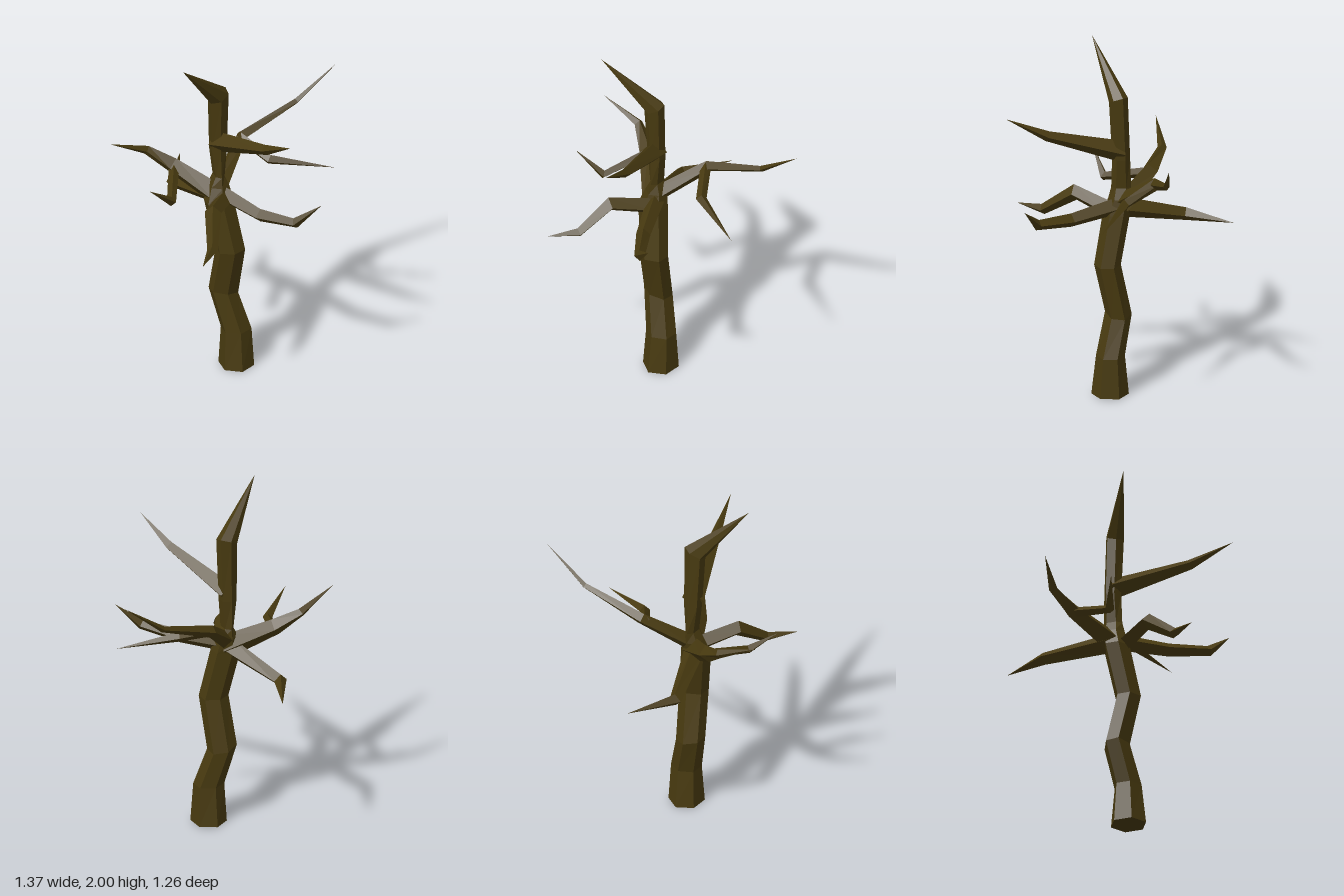
import * as THREE from 'three';

const UP = new THREE.Vector3(0, 1, 0);

// Skins rings of points (in order along the limb) with flat faces and a cap at the start.
function skin(rings) {
  const n = rings[0].length, pos = [];
  const tri = (...pts) => pts.forEach(p => pos.push(p.x, p.y, p.z));
  for (let j = 1; j < n - 1; j++) tri(rings[0][0], rings[0][j + 1], rings[0][j]);
  for (let i = 0; i < rings.length - 1; i++) {
    const a = rings[i], b = rings[i + 1];
    for (let j = 0; j < n; j++) {
      const k = (j + 1) % n;
      tri(a[j], a[k], b[k]);
      if (i < rings.length - 2) tri(a[j], b[k], b[j]);
    }
  }
  // the last ring has shrunk to a point, so its quads are single triangles
  const geo = new THREE.BufferGeometry();
  geo.setAttribute('position', new THREE.Float32BufferAttribute(pos, 3));
  geo.computeVertexNormals();
  return geo;
}

// Level rings: [x, y, z, radius in x, radius in z, tilt along x, tilt along z]
function trunkGeometry(sections, sides = 6) {
  return skin(sections.map(([x, y, z, rx, rz, tx = 0, tz = 0]) =>
    Array.from({ length: sides }, (_, j) => {
      const a = j / sides * Math.PI * 2, dx = Math.sin(a) * rx, dz = Math.cos(a) * rz;
      return new THREE.Vector3(x + dx, y + dx * tx + dz * tz, z + dz);
    })));
}

// Rings square to the path: [x, y, z, radius]
function branchGeometry(path, sides = 4) {
  const pts = path.map(([x, y, z]) => new THREE.Vector3(x, y, z));
  const dir = i => pts[i + 1].clone().sub(pts[i]).normalize();
  return skin(pts.map((p, i) => {
    const t = i === 0 ? dir(0) : i === pts.length - 1 ? dir(i - 1) : dir(i - 1).add(dir(i)).normalize();
    const s = UP.clone().cross(t).normalize(), u = t.clone().cross(s);
    return Array.from({ length: sides }, (_, j) => {
      const a = j / sides * Math.PI * 2, r = path[i][3];
      return p.clone().addScaledVector(s, Math.cos(a) * r).addScaledVector(u, Math.sin(a) * r);
    });
  }));
}

export function createModel() {
  const group = new THREE.Group();
  group.name = 'bareTree';
  const bark = new THREE.MeshStandardMaterial({ color: 0x483a10 });
  bark.name = 'bark';
  const add = (name, geo) => {
    const mesh = new THREE.Mesh(geo, bark);
    mesh.name = name;
    group.add(mesh);
  };

  // Crooked trunk, pinched above the fork and ending in a bent spike
  add('trunk', trunkGeometry([
    [-0.035, 0, 0.055, 0.1, 0.104],
    [-0.035, 0.23, 0.053, 0.088, 0.08],
    [-0.095, 0.46, 0.01, 0.085, 0.074, -0.2, 0.1],
    [-0.075, 0.755, 0.07, 0.085, 0.074],
    [-0.125, 1.05, 0.02, 0.087, 0.076],
    [-0.12, 1.14, 0, 0.06, 0.065],
    [-0.118, 1.2, -0.005, 0.03, 0.055],
    [-0.122, 1.37, -0.005, 0.05, 0.05],
    [-0.125, 1.715, 0.01, 0.06, 0.052, 0.4, -0.3],
    [-0.385, 2, 0.16, 0, 0],
  ]));

  const branches = {
    leftBackBranch: [[-0.13, 1.1, 0.01, 0.05], [0.09, 1.3, -0.2, 0.035], [0.43, 1.42, -0.263, 0.018], [0.68, 1.61, -0.28, 0]],
    leftSideTwig: [[0.07, 1.3, -0.2, 0.03], [0.19, 1.22, -0.03, 0.03], [0.53, 1.17, 0.095, 0]],
    rightBackBranch: [[-0.12, 1.07, 0.01, 0.07], [-0.335, 1.215, -0.165, 0.048], [-0.463, 1.3, -0.228, 0.026], [-0.69, 1.4, -0.19, 0]],
    rightSideTwig: [[-0.32, 1.21, -0.17, 0.03], [-0.43, 1.14, 0.095, 0.027], [-0.58, 1.27, 0.16, 0]],
    rightFrontBranch: [[-0.11, 1.07, 0.06, 0.05], [-0.24, 1.12, 0.25, 0.046], [-0.307, 0.99, 0.43, 0.03], [-0.415, 0.985, 0.575, 0]],
    leftFrontBranch: [[-0.1, 1.09, 0.03, 0.05], [0.03, 1.06, 0.27, 0.04], [0.17, 1.085, 0.455, 0.03], [0.3, 1.21, 0.525, 0]],
    upperFrontBranch: [[-0.125, 1.41, -0.01, 0.062], [0.018, 1.555, 0.4, 0.03], [0.08, 1.68, 0.63, 0]],
    backBranch: [[-0.13, 1.08, 0.01, 0.06], [-0.26, 0.985, -0.36, 0.038], [-0.125, 0.985, -0.63, 0]],
  };
  for (const [name, path] of Object.entries(branches)) add(name, branchGeometry(path));
  return group;
}
